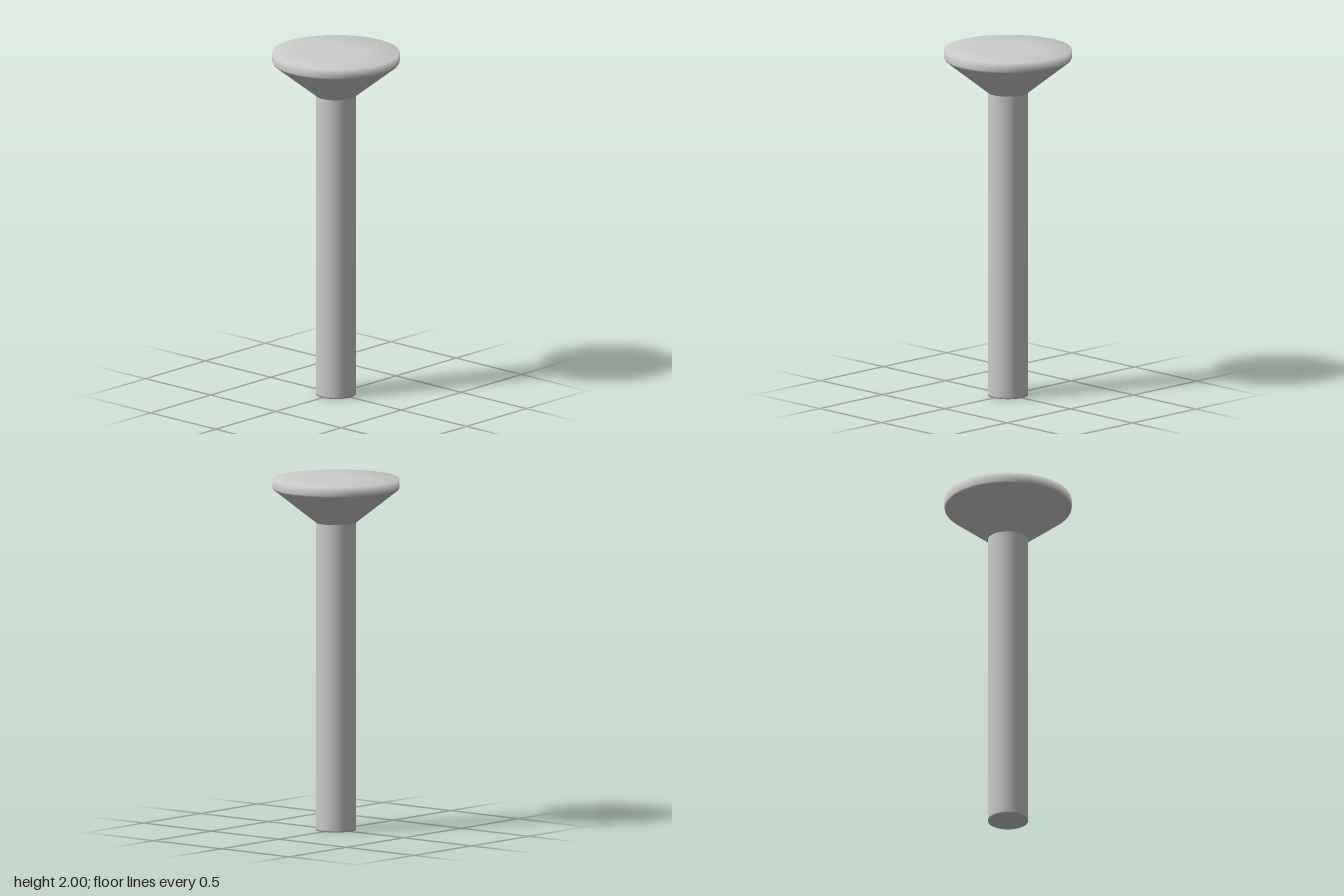
import * as THREE from 'three';

const SEGMENTS = 32;

// Smooth solid of revolution from a bottom-to-top [radius, height] profile
function turned(name, profile, material) {
  const points = profile.map(([r, y]) => new THREE.Vector2(r, y));
  const mesh = new THREE.Mesh(new THREE.LatheGeometry(points, SEGMENTS), material);
  mesh.name = name;
  return mesh;
}

export function createModel() {
  const group = new THREE.Group();
  group.name = 'flaredPin';
  const material = new THREE.MeshStandardMaterial({ color: 0xcccccc });

  // Straight round shaft with a closed foot; the close ring keeps the side evenly shaded
  group.add(turned('shaft', [
    [0, 0], [0.06, 0], [0.113, 0], [0.113, 0.01], [0.113, 1.75],
  ], material));

  // Flared head: cone, short upright rim and flat top with a softly shaded edge
  group.add(turned('head', [
    [0.113, 1.75], [0.355, 1.94], [0.36, 1.95], [0.36, 2], [0.18, 2], [0, 2],
  ], material));

  return group;
}
